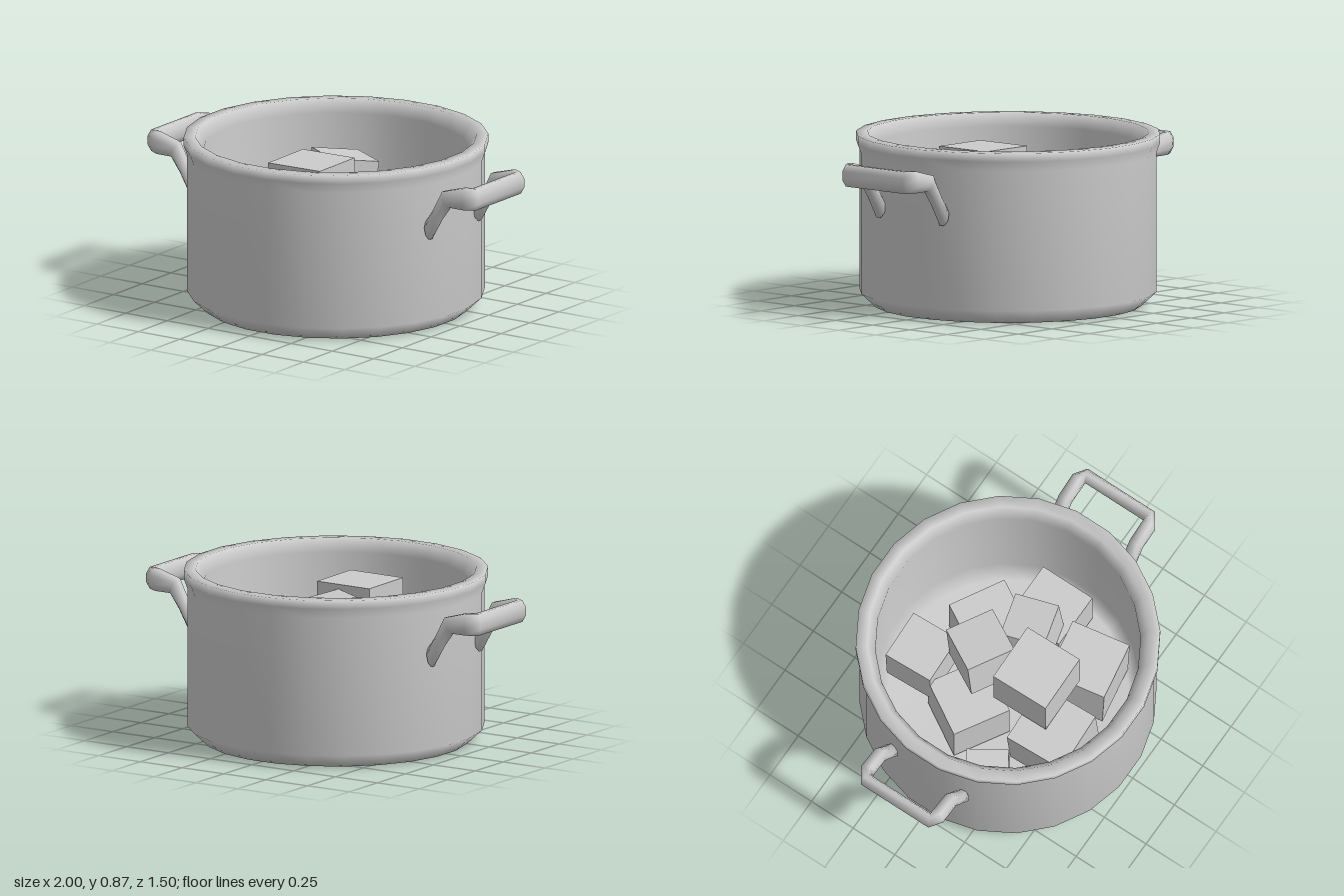
import * as THREE from 'three';

const material = new THREE.MeshStandardMaterial({ color: 0xcccccc });
const rad = THREE.MathUtils.degToRad;

function named(geometry, name) {
  const mesh = new THREE.Mesh(geometry, material);
  mesh.name = name;
  return mesh;
}

// Hollow pot with bevelled foot and thick flared rim
function createPot() {
  const profile = [
    [0, 0], [0.665, 0], [0.74, 0.07], [0.74, 0.77], [0.758, 0.82], [0.758, 0.863],
    [0.7, 0.865], [0.66, 0.8], [0.66, 0.15], [0.6, 0.08], [0, 0.08],
  ].map(([r, y]) => new THREE.Vector2(r, y));
  const geometry = new THREE.LatheGeometry(profile, 24);
  geometry.rotateY(Math.PI / 24);
  return named(geometry, 'pot');
}

// Handle lofted through bevelled eight-sided sections
function createHandle(name) {
  // lower x, lower y, upper x, upper y, z, side x, side z
  const half = [
    [0.722, 0.49, 0.7, 0.58, 0.213, 0, 0.035],
    [0.785, 0.6, 0.745, 0.645, 0.213, 0, 0.035],
    [0.84, 0.675, 0.8, 0.75, 0.213, 0, 0.035],
    [0.925, 0.675, 0.925, 0.785, 0.213, 0.01, 0.035],
    [0.972, 0.675, 0.972, 0.785, 0.19, 0.028, 0.012],
  ];
  const mirrored = half.map(s => [...s.slice(0, 4), -s[4], s[5], -s[6]]).reverse();
  const stations = [...half, ...mirrored];
  const sides = 8, positions = [], index = [];
  const k = 1 / Math.cos(Math.PI / sides);

  for (const [lx, ly, ux, uy, z, sx, sz] of stations) {
    for (let j = 0; j < sides; j++) {
      const a = (j + 0.5) * 2 * Math.PI / sides;
      const c = Math.cos(a) * k, s = Math.sin(a) * k;
      positions.push(
        (lx + ux) / 2 + sx * c + (ux - lx) / 2 * s,
        (ly + uy) / 2 + (uy - ly) / 2 * s,
        z + sz * c);
    }
  }
  for (let i = 0; i < stations.length - 1; i++) {
    for (let j = 0; j < sides; j++) {
      const a = i * sides + j, b = i * sides + (j + 1) % sides;
      index.push(a, a + sides, b + sides, a, b + sides, b);
    }
  }
  // End caps
  const last = (stations.length - 1) * sides;
  for (let j = 1; j < sides - 1; j++) {
    index.push(0, j, j + 1, last, last + j + 1, last + j);
  }
  const geometry = new THREE.BufferGeometry();
  geometry.setAttribute('position', new THREE.Float32BufferAttribute(positions, 3));
  geometry.setIndex(index);
  geometry.computeVertexNormals();
  return named(geometry, name);
}

// Loose heap of cubes inside the pot
function createCubes() {
  const group = new THREE.Group();
  group.name = 'cubes';
  // top centre x, y, z, size, yaw, tilt about x, tilt about z
  const cubes = [
    [-0.16, 0.48, -0.41, 0.26, 2, -1, 1],
    [0.18, 0.4, -0.23, 0.305, -30, 0, 0],
    [-0.22, 0.4, -0.085, 0.305, -31, 0, 0],
    [-0.04, 0.73, -0.14, 0.255, -30, -8, -4.5],
    [0.22, 0.61, -0.02, 0.23, 15, -7, 0],
    [0.41, 0.39, -0.02, 0.295, 0, 0, 0],
    [-0.02, 0.775, 0.185, 0.31, 1, 0, 0.5],
    [-0.14, 0.45, 0.355, 0.32, 2, -1, 4],
    [0.27, 0.42, 0.3, 0.31, 10, 0, -3],
    [-0.47, 0.33, 0.195, 0.21, 33, 4, 9],
  ];
  for (const [x, y, z, size, yaw, tiltX, tiltZ] of cubes) {
    const geometry = new THREE.BoxGeometry(size, size, size);
    geometry.translate(0, -size / 2, 0);
    const cube = named(geometry, 'cube');
    cube.position.set(x, y, z);
    cube.rotation.set(rad(tiltX), rad(yaw), rad(tiltZ), 'XZY');
    group.add(cube);
  }
  return group;
}

export function createModel() {
  const model = new THREE.Group();
  model.name = 'cookingPot';
  const rightHandle = createHandle('rightHandle');
  rightHandle.rotation.y = Math.PI;
  model.add(createPot(), createHandle('leftHandle'), rightHandle, createCubes());
  return model;
}
